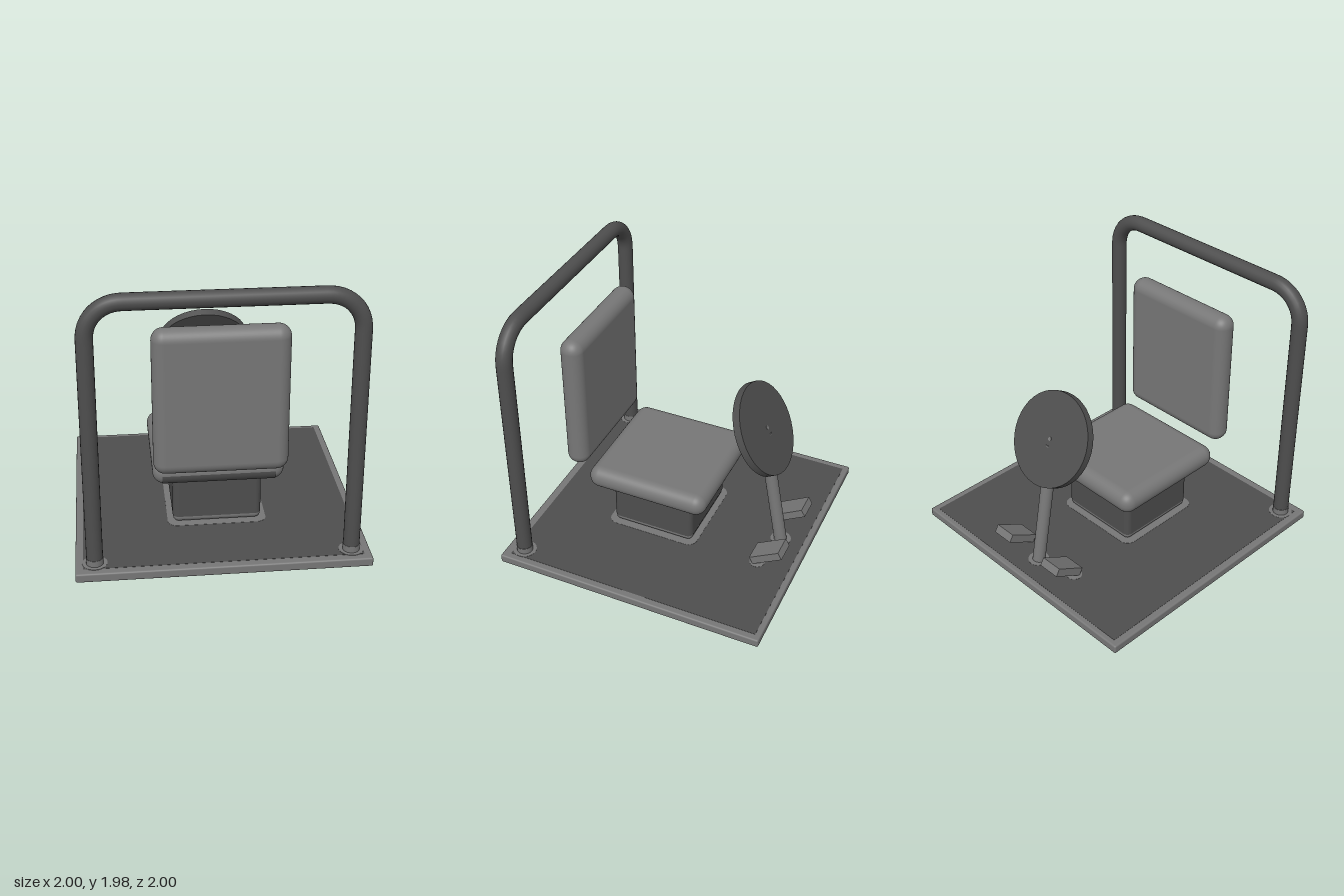
import * as THREE from 'three';
import { RoundedBoxGeometry } from 'three/addons/geometries/RoundedBoxGeometry.js';

export function createModel() {
  const model = new THREE.Group();
  model.name = 'drivingSeatRig';
  const light = new THREE.MeshStandardMaterial({ name: 'mid grey', color: 0x777777 });
  const dark = new THREE.MeshStandardMaterial({ name: 'dark grey', color: 0x4e4e4e });

  const add = (name, geometry, material, x = 0, y = 0, z = 0) => {
    const mesh = new THREE.Mesh(geometry, material);
    mesh.name = name;
    mesh.position.set(x, y, z);
    model.add(mesh);
    return mesh;
  };
  const rounded = (name, w, h, d, r, material, x, y, z) =>
    add(name, new RoundedBoxGeometry(w, h, d, 5, r), material, x, y, z);

  // Upright prism with a rounded square outline
  const roundedPrism = (size, r, height) => {
    const s = size / 2, c = s - r;
    const shape = new THREE.Shape();
    shape.absarc(c, c, r, 0, Math.PI / 2);
    shape.absarc(-c, c, r, Math.PI / 2, Math.PI);
    shape.absarc(-c, -c, r, Math.PI, Math.PI * 1.5);
    shape.absarc(c, -c, r, Math.PI * 1.5, Math.PI * 2);
    return new THREE.ExtrudeGeometry(shape, { depth: height, bevelEnabled: false, curveSegments: 6 })
      .rotateX(-Math.PI / 2);
  };

  // Floor slab, with dark inset panels above and below
  rounded('floorSlab', 2, 0.064, 2, 0.012, light, 0, 0.034, 0);
  add('floorMat', new THREE.BoxGeometry(1.9, 0.003, 1.9), dark, 0, 0.066, -0.01);
  add('floorUnderside', new THREE.BoxGeometry(1.9, 0.004, 1.9), dark, 0, 0.002, 0);

  // Pale floor patches around the parts that stand on it
  const patch = (name, x, z, r) =>
    add(name, new THREE.CylinderGeometry(r, r, 0.003, 24), light, x, 0.0675, z);
  patch('columnPatch', 0, -0.79, 0.075);
  for (const side of [-1, 1]) {
    patch('barPatch', side * 0.87, 0.87, 0.085);
    patch('pedalPatch', side * 0.3, -0.72, 0.055);
  }
  add('pedestalPatch', roundedPrism(0.7, 0.07, 0.003), light, 0, 0.066, 0.11);

  // Pedestal with a dark band around its sides
  rounded('pedestal', 0.62, 0.375, 0.62, 0.04, light, 0, 0.255, 0.107);
  add('pedestalBand', roundedPrism(0.626, 0.043, 0.285), dark, 0, 0.115, 0.107);

  // Cushions
  rounded('seatCushion', 0.91, 0.168, 0.91, 0.082, light, 0, 0.525, 0.105);
  rounded('backCushion', 0.91, 1.04, 0.168, 0.082, light, 0, 1.13, 0.648);

  // Dark strip on the lower rounded edge of the seat
  const strip = new THREE.CylinderGeometry(0.086, 0.086, 0.78, 8, 1, true, 0, Math.PI / 2);
  strip.rotateZ(Math.PI / 2);
  const stripMaterial = dark;
  const stripMesh = add('seatEdgeStrip', strip, stripMaterial, 0, 0.525, 0.478);
  stripMesh.rotation.x = 0;

  // Roll bar bent from one tube
  const X = 0.87, top = 1.92, R = 0.23;
  const path = new THREE.CurvePath();
  const v = (x, y) => new THREE.Vector3(x, y, 0);
  const points = [v(-X, 0.065)];
  for (let i = 0; i <= 10; i++) {
    const a = Math.PI - (i / 10) * Math.PI / 2;
    points.push(v(-X + R + R * Math.cos(a), top - R + R * Math.sin(a)));
  }
  for (let i = 0; i <= 10; i++) {
    const a = Math.PI / 2 - (i / 10) * Math.PI / 2;
    points.push(v(X - R + R * Math.cos(a), top - R + R * Math.sin(a)));
  }
  points.push(v(X, 0.065));
  for (let i = 1; i < points.length; i++) path.add(new THREE.LineCurve3(points[i - 1], points[i]));
  add('rollBar', new THREE.TubeGeometry(path, 160, 0.056, 20, false), dark, 0, 0, 0.87);
  for (const side of [-1, 1]) {
    add('rollBarFoot', new THREE.CylinderGeometry(0.058, 0.058, 0.05, 20), light, side * X, 0.09, 0.87);
  }

  // Leaning steering column
  const lean = Math.atan2(0.165, 0.93);
  const column = add('steeringColumn', new THREE.CylinderGeometry(0.046, 0.046, 0.95, 20), light, 0, 0.532, -0.705);
  column.rotation.x = lean;

  // Tilted steering disc with a small hub dot
  const wheel = add('steeringDisc', new THREE.CylinderGeometry(0.334, 0.334, 0.056, 40), dark, 0, 1.035, -0.614);
  wheel.rotation.x = -Math.PI / 3;
  const hub = new THREE.Mesh(new THREE.CylinderGeometry(0.014, 0.014, 0.006, 12), light);
  hub.name = 'hubDot';
  hub.position.y = 0.029;
  wheel.add(hub);

  // Pair of sloping pedals
  for (const side of [-1, 1]) {
    const pedal = add('pedal', new THREE.BoxGeometry(0.165, 0.06, 0.247), light, side * 0.248, 0.152, -0.79);
    pedal.rotation.x = Math.PI / 6;
  }

  // Turn the strip so its arc runs from the front face to the underside
  fitStrip(strip);
  return model;
}

// Mirrors the arc into the lower front quadrant and keeps faces outward
function fitStrip(geometry) {
  const p = geometry.attributes.position, n = geometry.attributes.normal;
  let sy = 0;
  for (let i = 0; i < p.count; i++) sy += p.getY(i);
  if (sy > 0) geometry.rotateX(Math.PI / 2);
  let sz = 0;
  for (let i = 0; i < p.count; i++) sz += p.getZ(i);
  if (sz < 0) geometry.rotateX(-Math.PI / 2);
  p.needsUpdate = n.needsUpdate = true;
}
